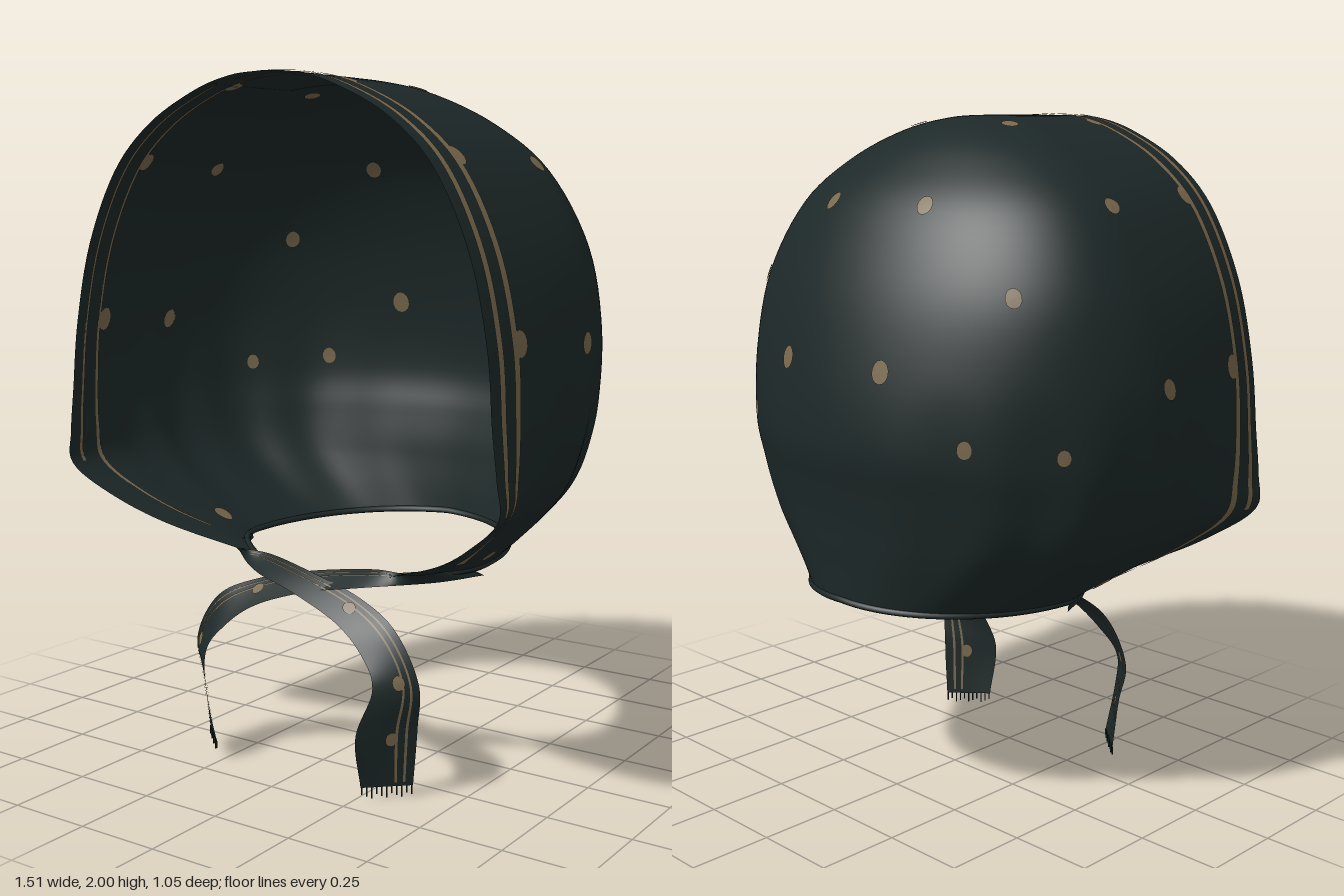
import * as THREE from 'three';
import { mergeGeometries } from 'three/addons/utils/BufferGeometryUtils.js';

const V = (x, y, z) => new THREE.Vector3(x, y, z);
const { lerp, clamp } = THREE.MathUtils;

// Hood slices from crown to neck: half width, height, back z | rim half width, rim z, z where the side starts to curve
const rows = [
  [0, 2.0, 0.15, 0, 0.515, 0.2],
  [0.12, 1.992, 0.03, 0.11, 0.515, 0.16],
  [0.26, 1.955, -0.08, 0.24, 0.515, 0.1],
  [0.43, 1.87, -0.205, 0.405, 0.515, 0.06],
  [0.58, 1.74, -0.33, 0.54, 0.515, 0.03],
  [0.693, 1.53, -0.435, 0.645, 0.517, 0.02],
  [0.745, 1.3, -0.497, 0.7, 0.52, 0.06],
  [0.747, 1.1, -0.52, 0.72, 0.525, 0.1],
  [0.722, 0.97, -0.497, 0.735, 0.525, 0.1],
  [0.68, 0.87, -0.48, 0.738, 0.518, 0.09],
  [0.61, 0.78, -0.472, 0.635, 0.47, 0.08],
  [0.52, 0.69, -0.465, 0.48, 0.385, 0.06],
  [0.42, 0.6, -0.46, 0.24, 0.255, 0.03],
];
const spline = (pts) => new THREE.CatmullRomCurve3(pts, false, 'catmullrom', 0.5);
const body = spline(rows.map((r) => V(r[0], r[1], r[2])));
const rim = spline(rows.map((r) => V(r[3], r[4], r[5])));
const SIDE = 0.35;

// Hood surface: t runs crown to neck, a runs right rim (-1), back (0), left rim (1)
function hood(t, a) {
  t = clamp(t, 0, 1);
  const b = body.getPoint(t), f = rim.getPoint(t);
  const s = 1 - Math.min(1, Math.abs(a)), side = a < 0 ? -1 : 1;
  const low = clamp((t - 0.5) / 0.5, 0, 1);
  let x, z;
  if (s < SIDE) {
    const k = s / SIDE;
    x = lerp(f.x, b.x, Math.sin(k * Math.PI / 2));
    z = lerp(f.y, f.z, k);
  } else {
    const g = ((s - SIDE) / (1 - SIDE)) * Math.PI / 2;
    x = b.x * Math.cos(g);
    z = f.z - (f.z - b.z) * Math.sin(g);
  }
  // soft gathers towards the neck
  const fold = 1 + 0.05 * low * (1 - low) * (Math.sin(s * 38) - 0.4) * Math.sin(Math.PI * s);
  return V(side * x * fold, b.y + 0.04 * s * clamp((t - 0.8) / 0.2, 0, 1), z * fold);
}

// Surface shifted along its normal
function shifted(fn, u, v, off) {
  const e = 0.002;
  const du = fn(u + e, v).sub(fn(u - e, v)), dv = fn(u, v + e).sub(fn(u, v - e));
  return fn(u, v).addScaledVector(du.cross(dv).normalize(), off);
}

// Grid mesh over a function of (u, v), both 0..1
function sheet(fn, nu, nv) {
  const pos = [], idx = [];
  for (let i = 0; i <= nu; i++) for (let j = 0; j <= nv; j++) {
    pos.push(...fn(i / nu, j / nv).toArray());
    if (i < nu && j < nv) {
      const p = i * (nv + 1) + j, q = p + nv + 1;
      idx.push(p, q, p + 1, p + 1, q, q + 1);
    }
  }
  const g = new THREE.BufferGeometry();
  g.setAttribute('position', new THREE.Float32BufferAttribute(pos, 3));
  g.setIndex(idx);
  g.computeVertexNormals();
  return g;
}

// Slightly tall spot lying on both sides of a surface
function spot(fn, u, v, r) {
  const e = 0.004;
  const lu = fn(u + e, v).distanceTo(fn(u - e, v)) / (2 * e);
  const lv = fn(u, v + e).distanceTo(fn(u, v - e)) / (2 * e);
  return mergeGeometries([-0.004, 0.004].map((off) => sheet((k, w) => {
    const g = w * Math.PI * 2;
    return shifted(fn, u + (k * r * 1.2 * Math.cos(g)) / lu, v + (k * r * Math.sin(g)) / lv, off);
  }, 2, 14)));
}

// Hood coordinates closest to a point
function locate(p) {
  let best = [0, 0], d = Infinity;
  for (let i = 2; i < 120; i++) for (let j = 1; j < 100; j++) {
    const q = hood(i / 120, j / 100).distanceToSquared(p);
    if (q < d) { d = q; best = [i / 120, j / 100]; }
  }
  return best;
}

// Ribbon path: centre and half width vector, for the tie that ends on the left
const tieRows = [
  [-0.41, 0.6, 0.06, 0.015, 0.014, 0.02],
  [-0.34, 0.6, 0.22, 0.01, 0.016, 0.03],
  [-0.18, 0.592, 0.29, 0.0, 0.02, -0.035],
  [0, 0.565, 0.33, 0.01, 0.024, -0.035],
  [0.17, 0.515, 0.35, 0.016, 0.032, -0.035],
  [0.29, 0.445, 0.375, 0.035, 0.036, -0.03],
  [0.355, 0.335, 0.39, 0.05, 0.008, -0.04],
  [0.33, 0.2, 0.4, 0.06, 0.005, -0.065],
  [0.315, 0.035, 0.38, 0.055, 0, -0.05],
];
const tieMid = spline(tieRows.map((r) => V(r[0], r[1], r[2])));
const tieHalf = spline(tieRows.map((r) => V(r[3], r[4], r[5])));
const tieAt = (side) => (u, v) => {
  const t = clamp(u, 0, 1);
  const p = tieMid.getPoint(t).addScaledVector(tieHalf.getPoint(t), v * 2 - 1);
  p.x *= side;
  if (side < 0) p.y += 0.025 * clamp(t * 4 - 3, 0, 1);
  p.z += side * 0.012 * Math.sin(Math.PI * t);
  return p;
};

export function createModel() {
  const model = new THREE.Group();
  const cloth = new THREE.MeshStandardMaterial({ color: 0x1d2828, side: THREE.DoubleSide });
  cloth.name = 'dark green cloth';
  const tan = new THREE.MeshStandardMaterial({ color: 0x7a694e, side: THREE.DoubleSide });
  tan.name = 'tan print';
  const add = (name, geo, mat) => {
    const m = new THREE.Mesh(geo, mat);
    m.name = name;
    model.add(m);
  };

  // Hood shell and neck hem
  add('hood', sheet((u, v) => hood(u, v * 2 - 1), 72, 120), cloth);
  const hemPts = Array.from({ length: 41 }, (_, i) => hood(1, i / 20 - 1));
  add('neckHem', new THREE.TubeGeometry(spline(hemPts), 80, 0.01, 6), cloth);

  // Two printed bands following the face opening: distance from the rim, width, end; narrower on the inside
  const bands = [];
  for (const [d, w, end] of [[0.036, 0.022, 0.75], [0.098, 0.024, 0.95]]) for (const side of [-1, 1]) for (const inside of [false, true]) {
    bands.push(sheet((u, v) => {
      const t = u * end, f = rim.getPoint(t);
      const grow = inside ? 0.5 : 1 + clamp((t - 0.8) * 4, 0, 0.6);
      return shifted(hood, t, side * (1 - (SIDE * (d + w * grow * v)) / (f.y - f.z)), inside ? 0.004 : -0.004);
    }, 70, 2));
  }
  add('rimBands', mergeGeometries(bands), tan);

  // Printed spots, mirrored left and right
  const spots = [];
  for (const [x, y, z, r] of [
    [0.19, 1.972, 0.03, 0.024], [0.56, 1.75, 0.02, 0.023], [0.195, 1.765, -0.325, 0.025], [0.5, 1.53, -0.29, 0.023],
    [0.19, 1.315, -0.48, 0.028], [0.75, 1.27, 0.07, 0.026], [0.44, 1.14, -0.39, 0.022], [0.63, 1.12, -0.22, 0.02],
    [0.185, 1.975, 0.392, 0.026], [0.51, 1.76, 0.392, 0.027], [0.71, 1.29, 0.392, 0.03], [0.49, 0.67, 0.12, 0.026],
  ]) {
    const [t, a] = locate(V(x, y, z));
    for (const side of [-1, 1]) spots.push(spot(hood, t, a * side, r));
  }
  add('spots', mergeGeometries(spots), tan);

  // Crossed ties with printed lines, spots and a frayed end
  for (const side of [-1, 1]) {
    const tie = tieAt(side), word = side > 0 ? 'left' : 'right';
    add(word + 'Tie', sheet(tie, 70, 6), cloth);
    const print = [];
    for (const off of [-0.003, 0.003]) for (const v0 of [0.64, 0.8]) {
      print.push(sheet((u, v) => shifted(tie, lerp(0.2, 0.99, u), v0 + v * 0.045, off), 60, 1));
    }
    for (const u of [0.5, 0.74, 0.89]) print.push(spot(tie, u, 0.58, 0.018));
    add(word + 'TiePrint', mergeGeometries(print), tan);
    const threads = [];
    for (let i = 0; i < 11; i++) {
      const p = tie(1, 0.02 + i * 0.096), len = 0.02 + 0.012 * ((i * 7) % 3) / 2;
      threads.push(new THREE.BoxGeometry(0.003, len, 0.003).translate(p.x, p.y - len / 2, p.z));
    }
    add(word + 'Fringe', mergeGeometries(threads), cloth);
  }
  return model;
}
